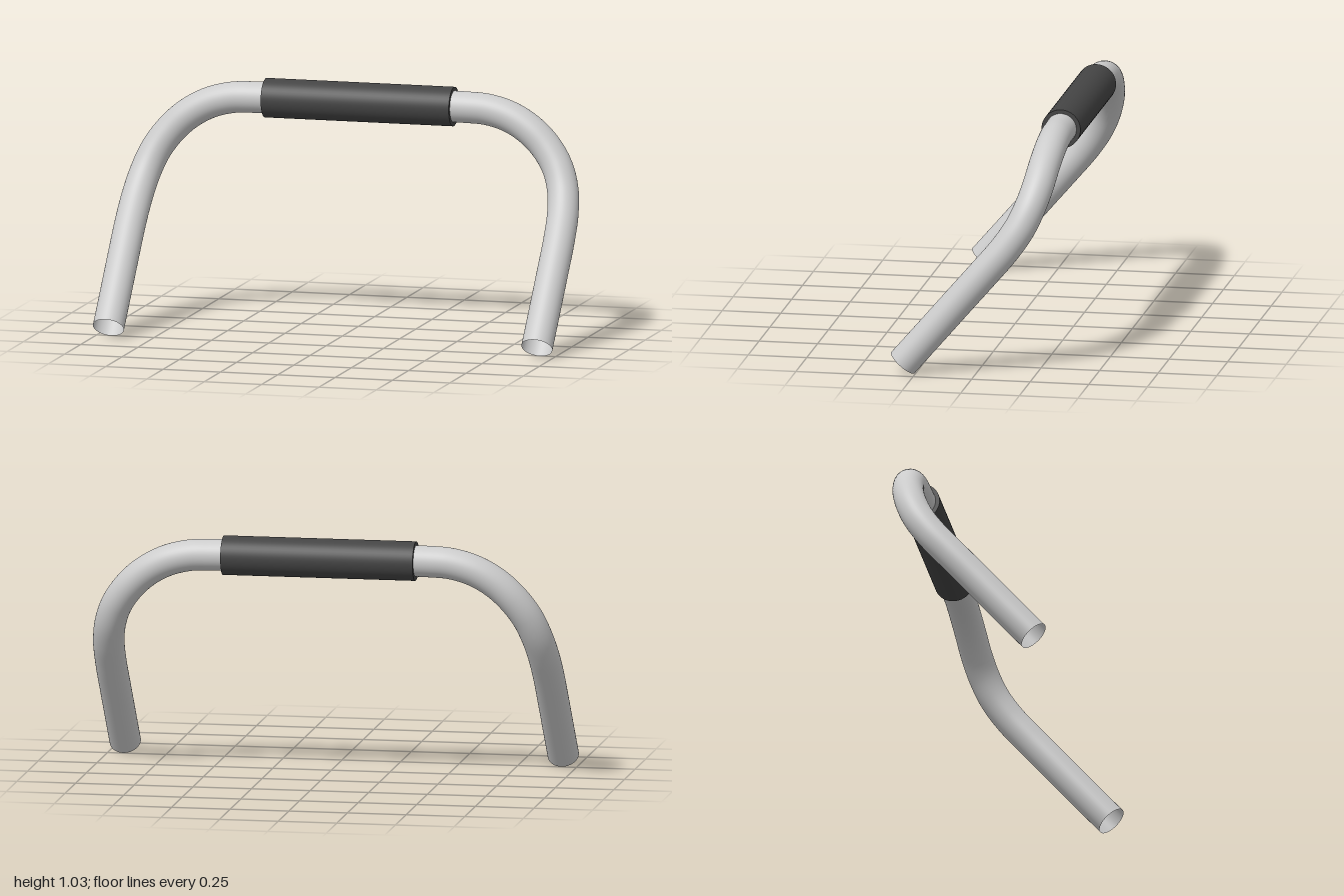
import * as THREE from 'three';

export function createModel() {
  const group = new THREE.Group();

  // Centreline of one half, from the leg end to the middle of the crossbar
  const half = [
    [0.934, 0.047, 0.305], [0.934, 0.18, 0.19], [0.934, 0.32, 0.07], [0.933, 0.45, -0.042],
    [0.926, 0.55, -0.126], [0.908, 0.64, -0.187], [0.875, 0.724, -0.225],
    [0.82, 0.803, -0.249], [0.75, 0.869, -0.261], [0.66, 0.921, -0.269],
    [0.56, 0.949, -0.272], [0.46, 0.955, -0.272], [0.2, 0.955, -0.272],
  ].map(p => new THREE.Vector3(...p));
  const mirrored = half.map(p => new THREE.Vector3(-p.x, p.y, p.z)).reverse();
  const path = new THREE.CatmullRomCurve3([...half, ...mirrored]);

  // Bent hollow tube with open ends
  const bar = new THREE.Mesh(
    new THREE.TubeGeometry(path, 160, 0.066, 40, false),
    new THREE.MeshStandardMaterial({ color: 0xcccccc, side: THREE.DoubleSide })
  );
  bar.name = 'bentTube';
  group.add(bar);

  // Dark sleeve around the middle of the crossbar
  const grip = new THREE.Mesh(
    new THREE.CylinderGeometry(0.083, 0.083, 0.82, 48),
    new THREE.MeshStandardMaterial({ color: 0x444444 })
  );
  grip.name = 'gripSleeve';
  grip.rotation.z = Math.PI / 2;
  grip.position.set(0, 0.955, -0.272);
  group.add(grip);

  return group;
}
